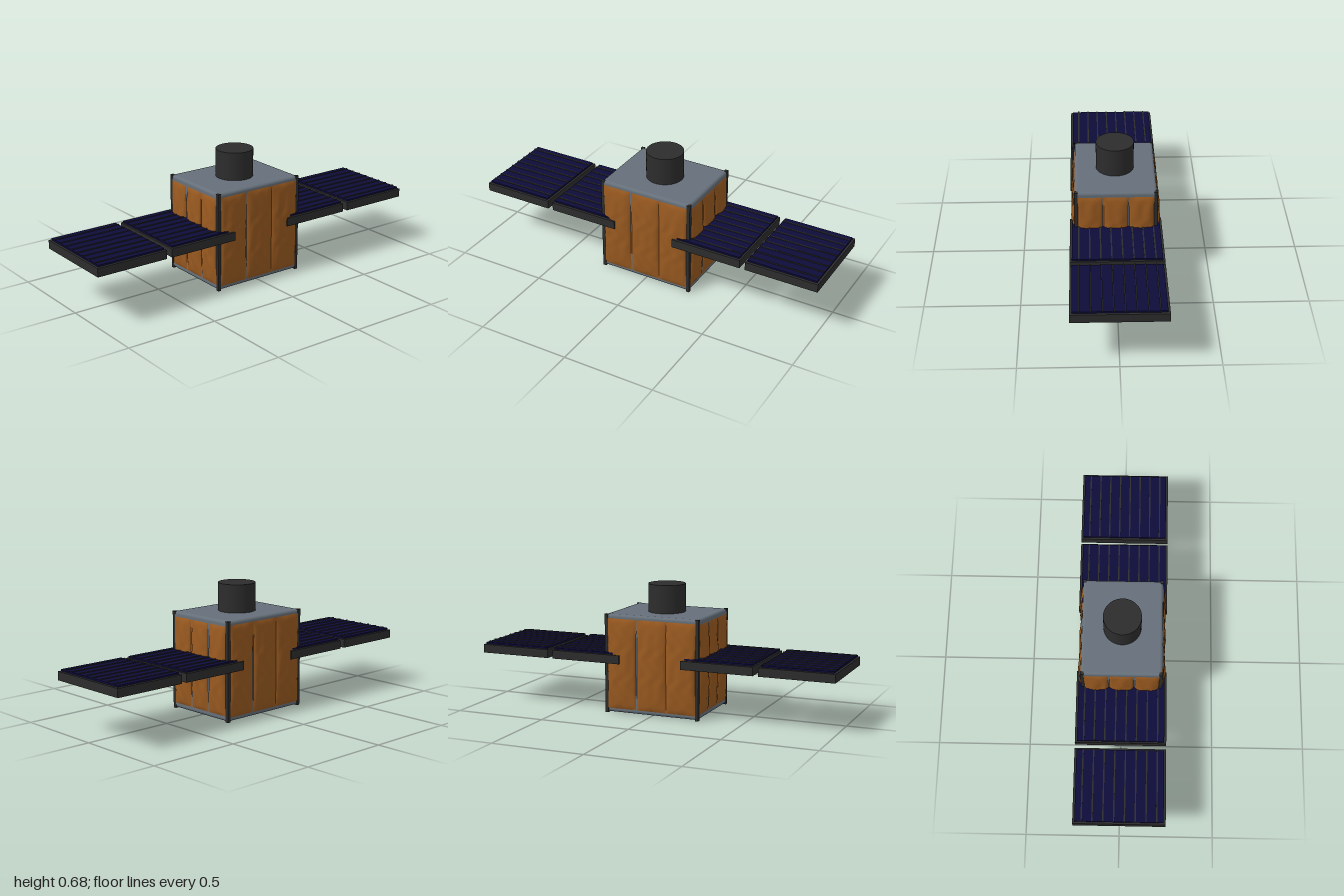
import * as THREE from 'three';
import { RoundedBoxGeometry } from 'three/addons/geometries/RoundedBoxGeometry.js';

const mat = (name, color, extra = {}) => {
  const m = new THREE.MeshStandardMaterial({ color, ...extra });
  m.name = name;
  return m;
};

export function createModel() {
  const model = new THREE.Group();
  model.name = 'satellite';
  const grey = mat('bodyGrey', 0x66707a);
  const dark = mat('darkFrame', 0x2d2d2d);
  const foil = mat('copperFoil', 0x9a5a20, { side: THREE.DoubleSide });
  const navy = mat('solarBlue', 0x0e0c3a);

  const add = (name, geometry, material, x, y, z, parent = model) => {
    const mesh = new THREE.Mesh(geometry, material);
    mesh.name = name;
    mesh.position.set(x, y, z);
    parent.add(mesh);
    return mesh;
  };
  const box = (name, w, h, d, material, x, y, z, parent) =>
    add(name, new THREE.BoxGeometry(w, h, d), material, x, y, z, parent);

  // Body with softened edges, and the round instrument on top
  add('body', new RoundedBoxGeometry(0.53, 0.53, 0.426, 2, 0.016), grey, 0, 0.268, 0);
  add('instrument', new THREE.CylinderGeometry(0.1, 0.1, 0.154, 48), dark, 0, 0.607, 0);

  // Corner posts
  for (const sx of [-1, 1]) for (const sz of [-1, 1])
    box('cornerPost', 0.018, 0.533, 0.018, dark, sx * 0.258, 0.2665, sz * 0.206);

  // Crumpled foil blanket: a plane bulged in the middle, with slanting folds
  const blanket = (w, h, bulge, seed) => {
    const g = new THREE.PlaneGeometry(w, h, 22, 44);
    const p = g.attributes.position;
    for (let i = 0; i < p.count; i++) {
      const x = p.getX(i), y = p.getY(i);
      const u = 2 * x / w, v = 2 * y / h;
      const edge = Math.min(1, (1 - u * u) * 2) * Math.min(1, (1 - v * v) * 2);
      const dome = Math.sqrt(Math.max(0, (1 - u * u) * (1 - v * v)));
      const folds = Math.sin(95 * x + 24 * y + seed + 1.8 * Math.sin(23 * y + seed * 2))
        + 0.6 * Math.sin(70 * x - 38 * y + seed * 3 + Math.sin(41 * y));
      p.setZ(i, bulge * dome + 0.0016 * edge * folds);
    }
    g.computeVertexNormals();
    return g;
  };

  // Four foil-covered walls, three blankets each; opposite walls match
  for (let k = 0; k < 4; k++) {
    const wall = new THREE.Group();
    wall.name = 'foilWall';
    wall.rotation.y = k * Math.PI / 2;
    const long = k % 2 === 0;
    const depth = long ? 0.214 : 0.266;
    const spans = long
      ? [[-0.25, -0.0885], [-0.0815, 0.0845], [0.0835, 0.25]]
      : [[-0.197, -0.07], [-0.063, 0.063], [0.07, 0.197]];
    spans.forEach(([a, b], i) => {
      const h = long ? 0.486 : 0.475;
      add('foilBlanket', blanket(b - a, h, 0.018, k * 2.3 + i * 1.7), foil,
        (a + b) / 2, 0.268, depth, wall);
    });
    model.add(wall);
  }

  // Two solar panels on each side: tray, cell plate and raised strips
  for (const x of [-0.8, -0.3725, 0.3725, 0.8]) {
    const panel = new THREE.Group();
    panel.name = 'solarPanel';
    panel.position.x = x;
    box('panelFrame', Math.abs(x) > 0.5 ? 0.4 : 0.395, 0.046, 0.48, dark, 0, 0.295, 0, panel);
    box('solarCells', 0.38, 0.009, 0.458, navy, 0, 0.3245, 0, panel);
    for (let i = 0; i < 8; i++)
      box('cellStrip', 0.38, 0.004, 0.007, dark, 0, 0.331, -0.194 + i * 0.0554, panel);
    model.add(panel);
  }
  return model;
}
